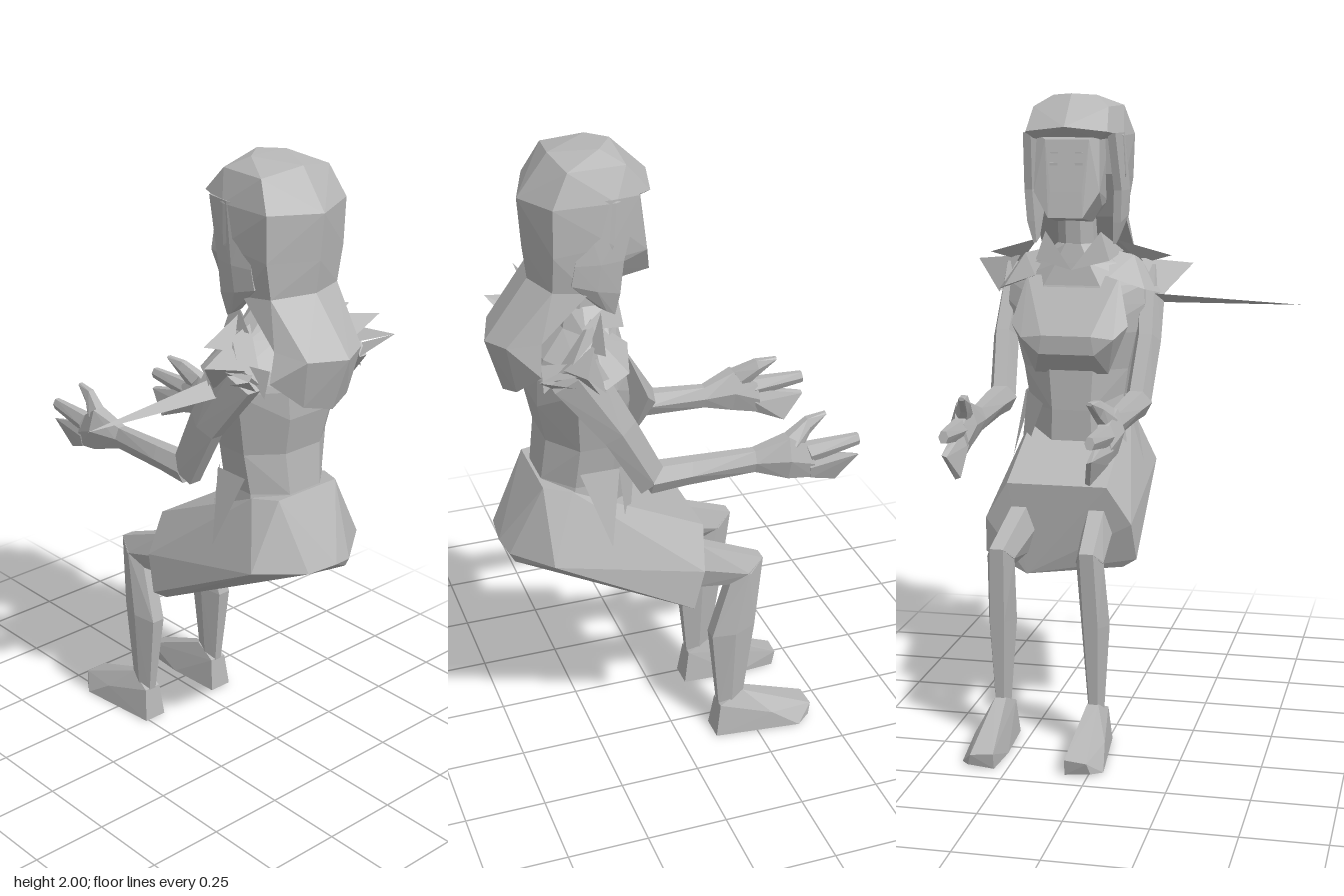
import * as THREE from 'three';
import { ConvexGeometry } from 'three/addons/geometries/ConvexGeometry.js';
import { mergeGeometries } from 'three/addons/utils/BufferGeometryUtils.js';

export function createModel() {
  const model = new THREE.Group();
  model.name = 'seatedFigure';
  const figure = new THREE.Group();
  figure.name = 'figure';
  figure.position.x = 0.18; // the body sits off to one side of the long spike
  model.add(figure);

  const grey = new THREE.MeshStandardMaterial({ color: 0xb6b6b6, flatShading: true, side: THREE.DoubleSide });
  grey.name = 'light grey';

  const add = (name, geometry) => {
    const mesh = new THREE.Mesh(geometry, grey);
    mesh.name = name;
    figure.add(mesh);
  };
  const hull = (pts, s = 1) => new ConvexGeometry(pts.map(([x, y, z]) => new THREE.Vector3(x * s, y, z)));
  // joins each cross-section to the next with a faceted skin
  const chain = (sections, s = 1) =>
    mergeGeometries(sections.slice(1).map((sec, i) => hull([...sections[i], ...sec], s)));
  // both mirror images of a point
  const both = (x, y, z) => [[x, y, z], [-x, y, z]];
  // horizontal eight-sided ring
  const ring = ([y, w, zf, zb]) => Array.from({ length: 8 }, (_, i) => {
    const a = (i + 0.5) * Math.PI / 4, k = 1 / Math.cos(Math.PI / 8);
    return [Math.cos(a) * k * w, y, (zf + zb) / 2 + Math.sin(a) * k * (zb - zf) / 2];
  });
  // six-sided limb section between a front and a back point
  const limb = ([x, w, y1, z1, y2, z2]) => [
    [x - w * 0.5, y1, z1], [x + w * 0.5, y1, z1],
    [x - w, (y1 + y2) / 2, (z1 + z2) / 2], [x + w, (y1 + y2) / 2, (z1 + z2) / 2],
    [x - w * 0.5, y2, z2], [x + w * 0.5, y2, z2],
  ];
  // thin cloth made of loose triangles
  const cloth = (tris, s = 1) => {
    const g = new THREE.BufferGeometry();
    const pos = tris.flat().flatMap(([x, y, z]) => [x * s, y, z]);
    g.setAttribute('position', new THREE.Float32BufferAttribute(pos, 3));
    g.computeVertexNormals();
    return g;
  };

  // head
  add('face', hull([
    ...both(0.1, 1.88, 0.12), ...both(0.07, 1.86, 0.105), ...both(0.105, 1.7, 0.095), ...both(0.05, 1.7, 0.083),
    ...both(0.055, 1.62, 0.073), ...both(0.09, 1.65, 0.2), ...both(0.06, 1.6, 0.2), ...both(0.1, 1.88, 0.3),
    ...both(0.09, 1.66, 0.3),
  ]));
  add('neck', chain([[1.66, 0.055, 0.17, 0.29], [1.48, 0.06, 0.19, 0.33]].map(ring)));

  // hair: cap, long back and the swept ends
  add('hairCap', hull([
    [0, 2, 0.17], ...both(0.07, 1.995, 0.22), [0.01, 1.98, 0.35], ...both(0.12, 1.96, 0.16),
    ...both(0.135, 1.962, 0.33), ...both(0.16, 1.87, 0.38), [0.01, 1.86, 0.44], ...both(0.16, 1.87, 0.2),
    ...both(0.13, 1.885, 0.095), [0, 1.9, 0.065], ...both(0.1, 1.86, 0.12),
  ]));
  add('hairBack', chain([
    [...both(0.16, 1.87, 0.2), ...both(0.16, 1.87, 0.38), [0.01, 1.86, 0.44]],
    [...both(0.165, 1.75, 0.21), ...both(0.155, 1.73, 0.38), [0.01, 1.72, 0.43]],
    [...both(0.15, 1.61, 0.28), ...both(0.135, 1.62, 0.38), [0.01, 1.62, 0.418]],
    [...both(0.155, 1.48, 0.42), ...both(0.11, 1.46, 0.51), [0.02, 1.45, 0.55]],
    [...both(0.18, 1.39, 0.43), ...both(0.09, 1.31, 0.48), [0.01, 1.285, 0.5]],
  ]));
  for (const s of [1, -1]) {
    add('hairSideLock', chain([
      limb([0.135, 0.025, 1.88, 0.13, 1.88, 0.3]), limb([0.145, 0.025, 1.7, 0.18, 1.7, 0.32]),
      limb([0.14, 0.025, 1.6, 0.19, 1.64, 0.33]), limb([0.13, 0.01, 1.53, 0.2, 1.56, 0.25]),
    ], s));
    // eyes and brows as thin plates
    for (const [name, y, h] of [['eye', 1.785, 0.008], ['brow', 1.82, 0.004]]) {
      const plate = new THREE.BoxGeometry(0.025, h, 0.006);
      plate.translate(s * 0.04, y, 0.095 + (y - 1.785) * 0.14);
      add(name, plate);
    }
  }

  // torso
  add('torso', chain([
    [1.53, 0.06, 0.18, 0.31], [1.47, 0.13, 0.17, 0.33], [1.4, 0.22, 0.16, 0.4], [1.34, 0.225, 0.14, 0.42],
    [1.25, 0.2, 0.12, 0.42], [1.13, 0.172, 0.14, 0.395], [1.0, 0.152, 0.14, 0.41], [0.8, 0.17, 0.15, 0.45],
  ].map(ring)));
  add('bust', hull([
    ...both(0.15, 1.43, 0.18), ...both(0.19, 1.28, 0.12), ...both(0.15, 1.24, 0.085), ...both(0.08, 1.25, 0.07),
    ...both(0.09, 1.19, 0.075), ...both(0.12, 1.12, 0.15), [0, 1.2, 0.085],
  ]));
  add('collar', cloth([1, -1].flatMap(s => [
    [[0, 1.45, 0.15], [s * 0.09, 1.57, 0.18], [s * 0.12, 1.48, 0.17]],
    [[s * 0.09, 1.57, 0.18], [s * 0.14, 1.5, 0.3], [s * 0.12, 1.48, 0.17]],
  ])));

  // skirt spreading from waist to knees
  add('skirt', hull([
    ...both(0.12, 1.0, 0.42), ...both(0.155, 0.99, 0.34), ...both(0.15, 0.9, 0.15), ...both(0.228, 0.79, 0.42),
    [-0.09, 0.785, 0.525], [0.09, 0.775, 0.52], [0.02, 0.785, 0.535], [0.09, 0.745, 0.505],
    ...both(0.16, 0.8, -0.065), ...both(0.235, 0.68, -0.045), ...both(0.245, 0.56, -0.01),
    [0.11, 0.495, -0.02], [-0.2, 0.53, 0],
  ]));
  // jacket tails laid over the hips
  for (const s of [1, -1]) add('jacketTail', cloth([
    [[0.165, 1.05, 0.32], [0.165, 1.05, 0.2], [0.22, 0.82, 0.24]],
    [[0.16, 1.05, 0.2], [0.09, 1.02, 0.13], [0.18, 0.8, 0.18]],
  ], s));

  for (const s of [1, -1]) {
    // legs
    add('thigh', chain([
      limb([0.125, 0.055, 0.77, 0.1, 0.62, 0.1]), limb([0.125, 0.048, 0.72, -0.06, 0.57, -0.04]),
      limb([0.14, 0.043, 0.64, -0.265, 0.56, -0.17]),
    ], s));
    add('shin', chain([
      limb([0.14, 0.043, 0.64, -0.265, 0.57, -0.16]), limb([0.148, 0.045, 0.4, -0.24, 0.38, -0.1]),
      limb([0.15, 0.025, 0.12, -0.21, 0.1, -0.13]),
    ], s));
    add('foot', hull([
      [0.13, 0.145, -0.21], [0.165, 0.145, -0.21], [0.12, 0.11, -0.13], [0.18, 0.11, -0.13],
      [0.11, 0, -0.115], [0.19, 0, -0.115], [0.1, 0, -0.3], [0.22, 0, -0.39],
      [0.11, 0.05, -0.44], [0.18, 0.045, -0.445], [0.11, 0, -0.43], [0.19, 0.01, -0.435], [0.205, 0.06, -0.3],
    ], s));

    // arms
    add('upperArm', chain([
      limb([0.22, 0.05, 1.46, 0.29, 1.37, 0.41]), limb([0.235, 0.042, 1.25, 0.18, 1.19, 0.27]),
      limb([0.222, 0.042, 1.07, 0.09, 1.0, 0.16]),
    ], s));
    add('forearm', chain([
      limb([0.222, 0.045, 1.08, 0.13, 0.995, 0.13]), limb([0.22, 0.04, 1.075, 0, 1.0, 0.02]),
      limb([0.212, 0.028, 1.065, -0.2, 0.995, -0.2]),
    ], s));
    add('palm', chain([
      limb([0.212, 0.028, 1.065, -0.2, 0.995, -0.2]), limb([0.225, 0.042, 1.1, -0.3, 0.965, -0.3]),
      limb([0.215, 0.03, 1.05, -0.38, 0.945, -0.39]),
    ], s));
    add('thumb', chain([
      limb([0.22, 0.03, 1.1, -0.3, 1.04, -0.34]), limb([0.2, 0.02, 1.135, -0.37, 1.085, -0.38]),
      limb([0.19, 0.01, 1.14, -0.435, 1.13, -0.435]),
    ], s));
    add('upperFingers', chain([
      limb([0.222, 0.03, 1.06, -0.36, 1.0, -0.38]), limb([0.214, 0.015, 1.06, -0.535, 1.025, -0.54]),
    ], s));
    add('lowerFingers', hull([
      ...limb([0.218, 0.03, 1.03, -0.36, 0.945, -0.38]),
      [0.22, 0.99, -0.54], [0.205, 0.985, -0.54], [0.2, 0.905, -0.475], [0.185, 0.91, -0.47],
    ], s));

    // ragged shoulder cape with pointed corners
    add('shoulderCap', hull([
      [0.1, 1.51, 0.26], [0.12, 1.43, 0.16], [0.23, 1.39, 0.19], [0.27, 1.37, 0.27],
      [0.24, 1.44, 0.36], [0.19, 1.38, 0.41], [0.18, 1.49, 0.27],
    ], s));
    add('shoulderPoints', cloth([
      [[0.2, 1.48, 0.28], [0.36, 1.46, 0.35], [0.23, 1.43, 0.38]],
      [[0.36, 1.46, 0.35], [0.27, 1.36, 0.27], [0.2, 1.48, 0.28]],
      [[0.36, 1.46, 0.35], [0.23, 1.43, 0.38], [0.27, 1.36, 0.29]],
      [[0.28, 1.43, 0.3], [0.3, 1.44, 0.47], [0.2, 1.41, 0.38]],
      [[0.26, 1.38, 0.34], [0.3, 1.44, 0.47], [0.2, 1.36, 0.4]],
      [[0.13, 1.54, 0.24], [0.3, 1.49, 0.28], [0.2, 1.46, 0.3]],
      [[0.2, 1.43, 0.34], [0.18, 1.43, 0.43], [0.2, 1.35, 0.43]],
    ], s));
  }

  // long flat spike beside the right shoulder
  add('spike', cloth([[[-0.25, 1.37, 0.248], [-0.72, 1.343, 0.273], [-0.25, 1.335, 0.308]]]));

  return model;
}
